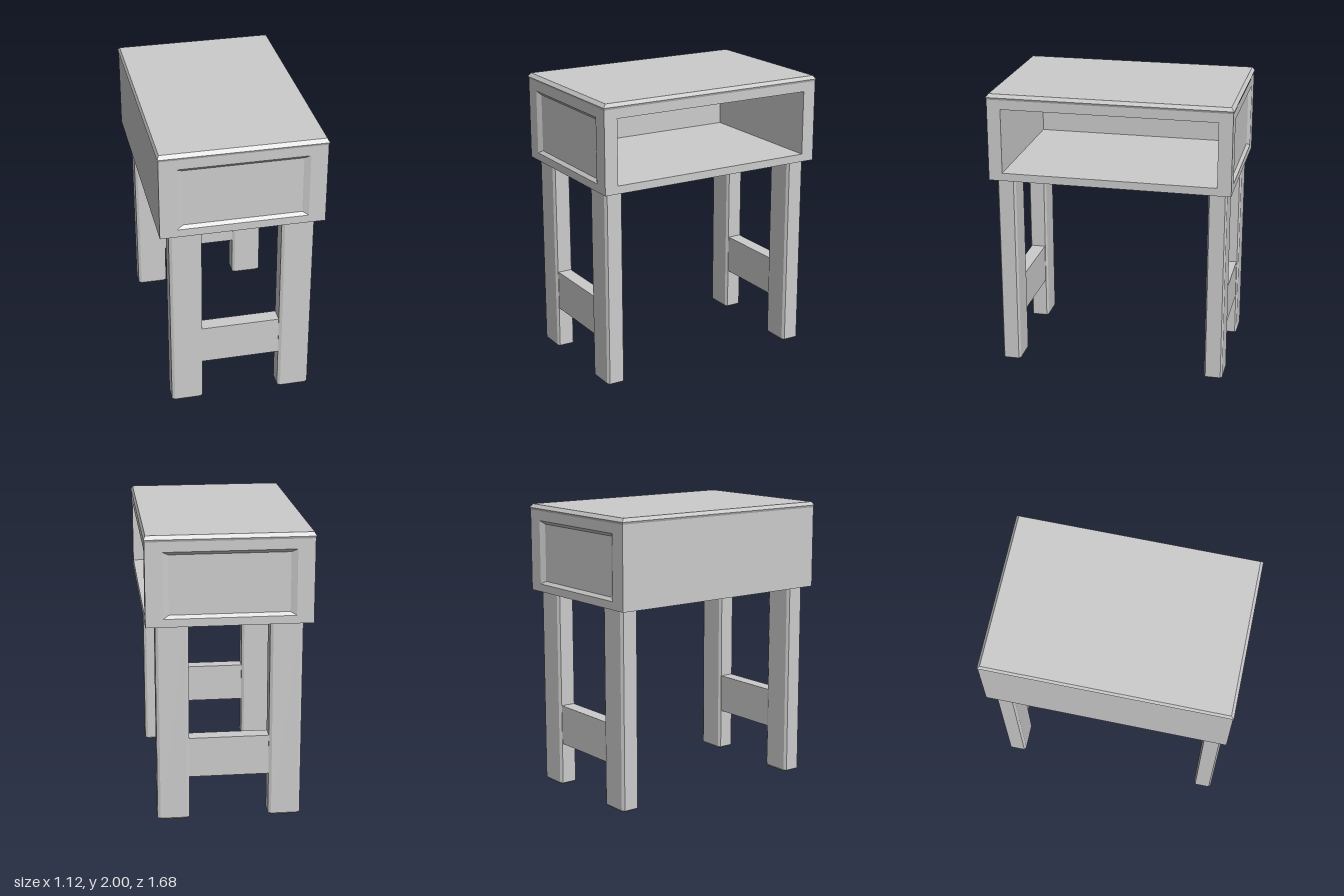
import * as THREE from 'three';

const material = new THREE.MeshStandardMaterial({ color: 0xcccccc, flatShading: true });

// Rectangular ring at depth d along local z
const rect = (hw, y0, y1, d) => [[-hw, y0, d], [hw, y0, d], [hw, y1, d], [-hw, y1, d]];

// Rectangular ring with chamfered corners
const chamfered = (hw, hh, d, cx, cy) => [
  [-hw + cx, -hh, d], [hw - cx, -hh, d], [hw, -hh + cy, d], [hw, hh - cy, d],
  [hw - cx, hh, d], [-hw + cx, hh, d], [-hw, hh - cy, d], [-hw, -hh + cy, d],
];

// Join successive rings with flat faces and cap the last one
function loft(name, rings) {
  const pos = [];
  const tri = (...pts) => pts.forEach((p) => pos.push(...p));
  for (let r = 0; r < rings.length - 1; r++) {
    const a = rings[r], b = rings[r + 1];
    for (let i = 0; i < a.length; i++) {
      const j = (i + 1) % a.length;
      tri(a[i], a[j], b[j]);
      tri(a[i], b[j], b[i]);
    }
  }
  const cap = rings[rings.length - 1];
  for (let i = 1; i < cap.length - 1; i++) tri(cap[0], cap[i], cap[i + 1]);
  const geometry = new THREE.BufferGeometry();
  geometry.setAttribute('position', new THREE.Float32BufferAttribute(pos, 3));
  geometry.computeVertexNormals();
  const mesh = new THREE.Mesh(geometry, material);
  mesh.name = name;
  return mesh;
}

export function createModel() {
  const model = new THREE.Group();
  model.name = 'sideTable';
  const W = 0.555, D = 0.835, Y0 = 1.39, Y1 = 1.96;

  // Cabinet body
  const cabinet = new THREE.Group();
  cabinet.name = 'cabinet';
  model.add(cabinet);

  // Front and back with a sunken panel
  for (const [name, turn] of [['frontPanel', 0], ['backPanel', Math.PI]]) {
    const panel = loft(name, [
      rect(W, Y0, Y1, D),
      rect(0.44, 1.445, 1.892, D),
      rect(0.4, 1.467, 1.87, D - 0.02),
    ]);
    panel.rotation.y = turn;
    cabinet.add(panel);
  }

  // Left side with the open compartment
  const compartment = loft('openCompartment', [
    rect(D, Y0, Y1, W),
    rect(0.74, 1.445, 1.895, W),
    rect(0.74, 1.445, 1.895, -0.5),
  ]);
  compartment.rotation.y = Math.PI / 2;
  cabinet.add(compartment);

  // Plain right side and underside
  const side = loft('closedSide', [rect(D, Y0, Y1, W)]);
  side.rotation.y = -Math.PI / 2;
  const underside = loft('underside', [rect(W, -D, D, -Y0)]);
  underside.rotation.x = Math.PI / 2;
  cabinet.add(side, underside);

  // Table top with bevelled rim
  const top = loft('tableTop', [
    rect(0.549, -0.829, 0.829, 1.95),
    rect(0.56, -0.84, 0.84, 1.975),
    rect(0.547, -0.82, 0.82, 2),
  ]);
  top.rotation.x = -Math.PI / 2;
  model.add(top);

  // Chamfered legs, with a rail joining each pair
  for (const sz of [1, -1]) {
    const end = sz > 0 ? 'front' : 'back';
    for (const sx of [1, -1]) {
      const leg = loft(end + (sx > 0 ? 'LeftLeg' : 'RightLeg'), [
        chamfered(0.11, 0.065, -Y0, 0.02, 0.012),
        chamfered(0.11, 0.065, -0.014, 0.02, 0.012),
        chamfered(0.09, 0.053, 0, 0.012, 0.008),
      ]);
      leg.rotation.x = Math.PI / 2;
      leg.position.set(sx * 0.381, 0, sz * 0.735);
      model.add(leg);
    }
    const rail = new THREE.Mesh(new THREE.BoxGeometry(0.6, 0.28, 0.1), material);
    rail.name = end + 'Rail';
    rail.position.set(0, 0.447, sz * 0.735);
    model.add(rail);
  }
  return model;
}
